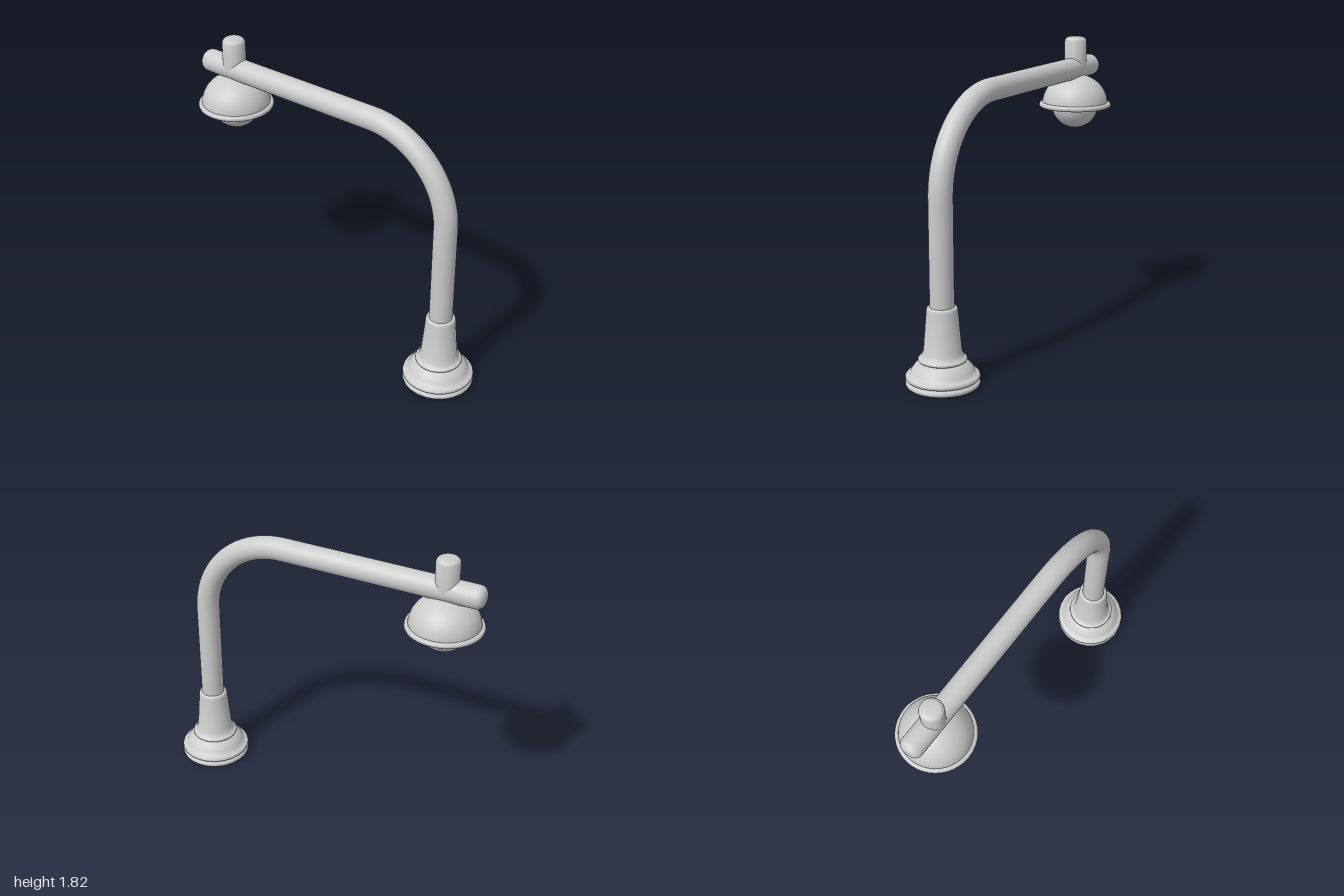
import * as THREE from 'three';
import { toCreasedNormals } from 'three/addons/utils/BufferGeometryUtils.js';

const material = new THREE.MeshStandardMaterial({ color: 0xcccccc });
const openMaterial = new THREE.MeshStandardMaterial({ color: 0xcccccc, side: THREE.DoubleSide });

const POST_X = 0.785, ARM_Y = 1.62, LAMP_X = -0.77, PIPE = 0.07, BEND = 0.53;

// Points along an elliptical arc, in (radius, height)
function arc(cx, cy, rx, ry, from, to, steps) {
  return Array.from({ length: steps + 1 }, (_, i) => {
    const a = THREE.MathUtils.degToRad(from + (to - from) * i / steps);
    return [Math.max(0, cx + rx * Math.cos(a)), cy + ry * Math.sin(a)];
  });
}

function lathe(name, profile, sides, mat = material) {
  const points = profile.map(([r, y]) => new THREE.Vector2(r, y));
  const geometry = toCreasedNormals(new THREE.LatheGeometry(points, sides), 0.75);
  const mesh = new THREE.Mesh(geometry, mat);
  mesh.name = name;
  return mesh;
}

// Short pipe with a rounded top end
function roundedPipe(name, length, bevel) {
  return lathe(name, [
    [PIPE, 0],
    ...arc(PIPE - bevel, length - bevel, bevel, bevel, 0, 90, 5),
    [0, length],
  ], 32);
}

export function createModel() {
  const group = new THREE.Group();

  // Stepped base with two rolled rings, a domed skirt and a tapered socket
  const base = lathe('base', [
    [0, 0],
    ...arc(0.197, 0.018, 0.018, 0.018, -90, 90, 6),
    [0.192, 0.038],
    ...arc(0.197, 0.056, 0.018, 0.017, -90, 90, 6),
    [0.188, 0.078], [0.179, 0.098], [0.163, 0.12], [0.14, 0.14], [0.128, 0.146],
    ...arc(0.128, 0.159, 0.013, 0.012, -80, 90, 5),
    [0.122, 0.178], [0.117, 0.192], [0.11, 0.208],
    [0.09, 0.445],
    ...arc(0.075, 0.453, 0.014, 0.014, 0, 90, 4),
    [0.06, 0.467],
  ], 24);
  base.position.x = POST_X;
  group.add(base);

  // Post, bend and arm swept as one pipe
  const v = (x, y) => new THREE.Vector3(x, y, 0);
  const path = new THREE.CurvePath();
  path.add(new THREE.LineCurve3(v(POST_X, 0.4), v(POST_X, ARM_Y - BEND)));
  const k = BEND * 0.4477;
  path.add(new THREE.CubicBezierCurve3(
    v(POST_X, ARM_Y - BEND), v(POST_X, ARM_Y - k),
    v(POST_X - k, ARM_Y), v(POST_X - BEND, ARM_Y)));
  path.add(new THREE.LineCurve3(v(POST_X - BEND, ARM_Y), v(-0.9, ARM_Y)));
  const pipe = new THREE.Mesh(new THREE.TubeGeometry(path, 72, PIPE, 32), material);
  pipe.name = 'postAndArm';
  group.add(pipe);

  // Rounded end of the arm
  const armEnd = roundedPipe('armEnd', 0.1, 0.045);
  armEnd.rotation.z = Math.PI / 2;
  armEnd.position.set(-0.9, ARM_Y, 0);
  group.add(armEnd);

  // Upright stub above the lamp
  const stub = roundedPipe('lampStub', 0.2, 0.03);
  stub.position.set(LAMP_X, ARM_Y, 0);
  group.add(stub);

  // Lamp: open dome shade, rolled rim and round bulb
  const lamp = new THREE.Group();
  lamp.name = 'lamp';
  lamp.position.set(LAMP_X, 1.387, 0);
  lamp.add(lathe('shade', arc(0, 0.005, 0.21, 0.19, 0, 90, 16), 40, openMaterial));

  const rim = new THREE.Mesh(new THREE.TorusGeometry(0.214, 0.017, 10, 40), material);
  rim.name = 'shadeRim';
  rim.rotation.x = Math.PI / 2;
  lamp.add(rim);

  const bulb = new THREE.Mesh(new THREE.SphereGeometry(0.15, 32, 20), material);
  bulb.name = 'bulb';
  lamp.add(bulb);
  group.add(lamp);

  return group;
}
